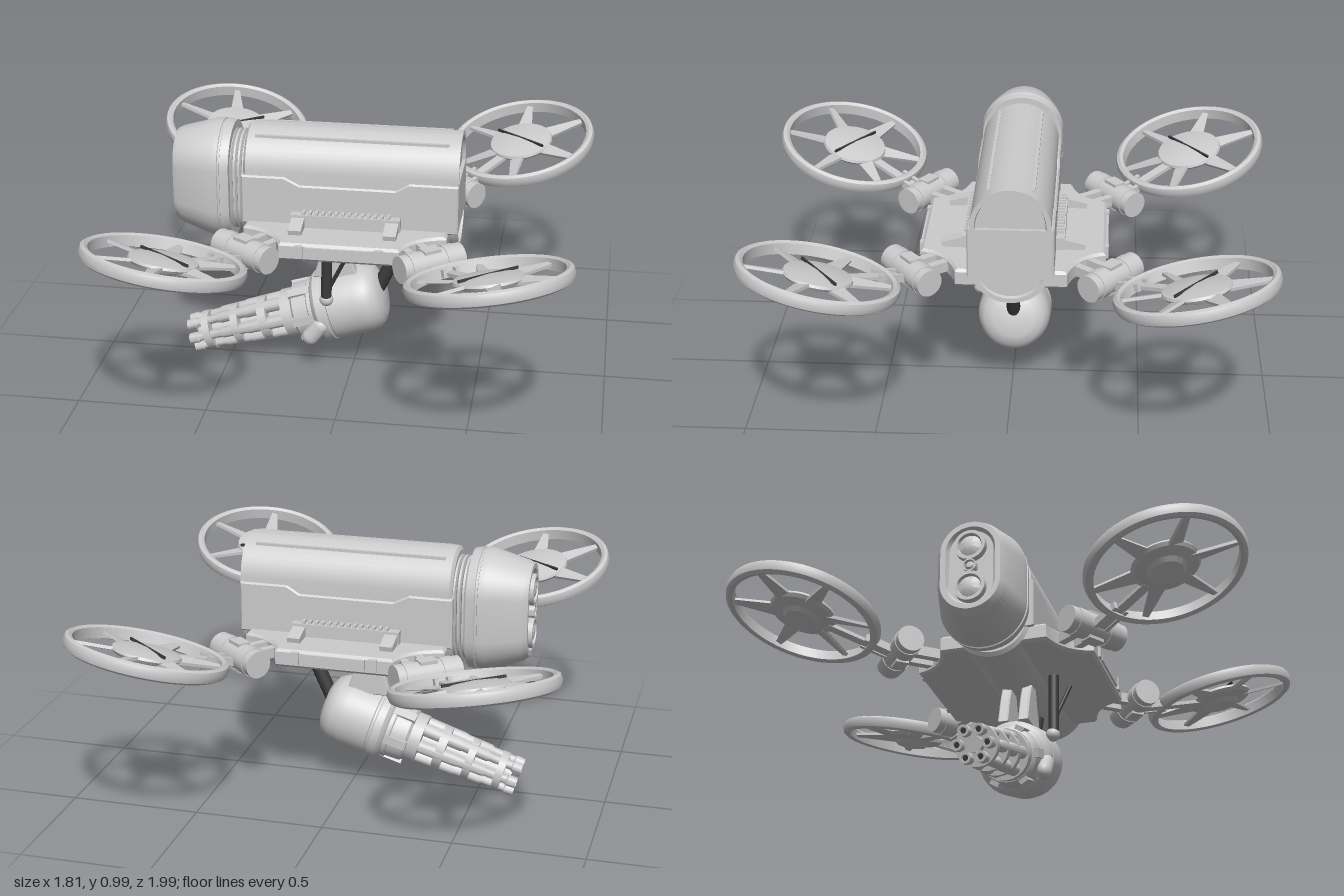
import * as THREE from 'three';
import { toCreasedNormals } from 'three/addons/utils/BufferGeometryUtils.js';

const grey = new THREE.MeshStandardMaterial({ color: 0xcccccc });
const dark = new THREE.MeshStandardMaterial({ color: 0x3a3a3a });

function add(parent, name, geometry, pos = [0, 0, 0], rot = [0, 0, 0], material = grey) {
  const mesh = new THREE.Mesh(geometry, material);
  mesh.name = name;
  mesh.position.set(...pos);
  mesh.rotation.set(...rot);
  parent.add(mesh);
  return mesh;
}

const box = (w, h, d) => new THREE.BoxGeometry(w, h, d);
const cyl = (r1, r2, h, n = 32) => new THREE.CylinderGeometry(r1, r2, h, n);
const lathe = (pts, n = 48) => toCreasedNormals(
  new THREE.LatheGeometry(pts.map(p => new THREE.Vector2(...p)), n), 0.6);

function rod(parent, name, a, b, r, material = grey) {
  const from = new THREE.Vector3(...a), to = new THREE.Vector3(...b);
  const dir = to.clone().sub(from);
  const mesh = add(parent, name, cyl(r, r, dir.length(), 16), from.add(to).multiplyScalar(0.5).toArray(), [0, 0, 0], material);
  mesh.quaternion.setFromUnitVectors(new THREE.Vector3(0, 1, 0), dir.normalize());
}

// Loft of upright capsule-shaped sections along x: [x, halfWidth, halfHeight, centreY]
function loft(sections, n = 48) {
  const pos = [], idx = [];
  for (const [x, r, h, cy] of sections) {
    for (let j = 0; j < n; j++) {
      const t = (j + 0.5) / n * Math.PI * 2, c = Math.cos(t);
      pos.push(x, cy + r * c + Math.sign(c) * (h - r), r * Math.sin(t));
    }
  }
  const last = sections.length - 1;
  for (let i = 0; i < last; i++) for (let j = 0; j < n; j++) {
    const a = i * n + j, b = i * n + (j + 1) % n;
    idx.push(a, b, a + n, b, b + n, a + n);
  }
  for (let j = 1; j < n - 1; j++) {
    idx.push(0, j + 1, j);
    idx.push(last * n, last * n + j, last * n + j + 1);
  }
  const g = new THREE.BufferGeometry();
  g.setAttribute('position', new THREE.Float32BufferAttribute(pos, 3));
  g.setIndex(idx);
  return toCreasedNormals(g, 0.4);
}

function extrude(points, depth, bevel = 0) {
  const shape = new THREE.Shape(points.map(p => new THREE.Vector2(...p)));
  return new THREE.ExtrudeGeometry(shape, {
    depth, bevelEnabled: bevel > 0, bevelSize: bevel, bevelThickness: bevel, bevelSegments: 1 });
}

function makeHull() {
  const hull = new THREE.Group();
  hull.name = 'hull';
  hull.position.z = -0.01;
  add(hull, 'fuselage', loft([[-0.41, 0.135, 0.215, 0.78], [-0.4, 0.15, 0.23, 0.78], [0.415, 0.15, 0.23, 0.78],
    [0.415, 0.132, 0.212, 0.78], [0.402, 0.128, 0.208, 0.78]]));
  // Ribbed neck
  const ribs = [];
  for (let i = 0; i < 4; i++) {
    const x = -0.475 + i * 0.018;
    ribs.push([x, 0.115, 0.185, 0.775], [x + 0.004, 0.13, 0.2, 0.775], [x + 0.012, 0.13, 0.2, 0.775]);
  }
  add(hull, 'neck', loft([...ribs, [-0.4, 0.115, 0.185, 0.775]]));
  // Sensor head with recessed face
  add(hull, 'head', loft([[-0.675, 0.085, 0.15, 0.785], [-0.692, 0.095, 0.16, 0.785], [-0.692, 0.115, 0.18, 0.785],
    [-0.67, 0.13, 0.195, 0.78], [-0.535, 0.165, 0.237, 0.775], [-0.51, 0.165, 0.237, 0.775],
    [-0.508, 0.16, 0.232, 0.775], [-0.5, 0.16, 0.232, 0.775], [-0.498, 0.165, 0.237, 0.775],
    [-0.465, 0.16, 0.232, 0.775]]));
  for (const [y, r] of [[0.865, 0.06], [0.78, 0.026], [0.695, 0.06]]) {
    add(hull, 'lens', lathe([[0, 0], [r, 0], [r, 0.032], [r * 0.78, 0.032], [r * 0.7, 0.02], [r * 0.4, 0.03], [0, 0.033]], 32),
      [-0.67, y, 0], [0, 0, Math.PI / 2]);
  }
  // Side armour, top rails and pad brackets on both sides
  const panel = [[-0.41, 0.66], [0.41, 0.66], [0.41, 0.845], [0.23, 0.845], [0.18, 0.815],
    [-0.19, 0.815], [-0.25, 0.845], [-0.41, 0.845]];
  add(hull, 'sideArmour', extrude(panel, 0.31, 0.006), [0, 0, -0.155]);
  for (const s of [-1, 1]) {
    add(hull, 'topRail', box(0.74, 0.012, 0.012), [0, 0.985, s * 0.083]);
    add(hull, 'lowerSill', box(0.42, 0.05, 0.05), [-0.01, 0.69, s * 0.17]);
    for (let i = 0; i < 14; i++) add(hull, 'ventFin', box(0.012, 0.02, 0.03), [-0.17 + i * 0.025, 0.715, s * 0.175]);
    for (const x of [-0.19, 0.17]) add(hull, 'bracket', box(0.05, 0.05, 0.12), [x, 0.675, s * 0.21], [s * 0.25, 0, 0]);
    for (const x of [-0.16, 0.14]) add(hull, 'edgeBlock', box(0.03, 0.05, 0.02), [x, 0.635, s * 0.35]);
    add(hull, 'edgePanel', box(0.24, 0.04, 0.016), [-0.01, 0.635, s * 0.35]);
  }
  return hull;
}

function makeDeck() {
  // Plate with scooped corners
  const shape = new THREE.Shape();
  shape.moveTo(0.22, 0.34);
  shape.lineTo(-0.22, 0.34);
  shape.quadraticCurveTo(-0.25, 0.23, -0.38, 0.2);
  shape.lineTo(-0.38, -0.2);
  shape.quadraticCurveTo(-0.25, -0.23, -0.22, -0.34);
  shape.lineTo(0.22, -0.34);
  shape.quadraticCurveTo(0.25, -0.23, 0.38, -0.2);
  shape.lineTo(0.38, 0.2);
  shape.quadraticCurveTo(0.25, 0.23, 0.22, 0.34);
  const g = new THREE.ExtrudeGeometry(shape, {
    depth: 0.05, bevelSize: 0.01, bevelThickness: 0.01, bevelSegments: 1, curveSegments: 10 });
  g.rotateX(-Math.PI / 2);
  return g;
}

// Rotor pod; local +x points away from the hull
function makeRotorPod(name, cx, cz, mx, mz) {
  const pod = new THREE.Group();
  pod.name = name;
  pod.position.set(cx, 0.728, cz);
  pod.rotation.y = Math.atan2(-(cz - mz), cx - mx);
  const d = Math.hypot(cx - mx, cz - mz);

  // Hinge drum across the arm
  add(pod, 'hingeDrum', cyl(0.052, 0.052, 0.26), [-d, -0.093, 0], [Math.PI / 2, 0, 0]);
  for (const z of [-0.075, 0.075]) add(pod, 'hingeBand', cyl(0.055, 0.055, 0.045), [-d, -0.093, z], [Math.PI / 2, 0, 0]);
  add(pod, 'hingeClamp', box(0.05, 0.116, 0.07), [-d, -0.093, 0]);
  for (const z of [-0.035, 0.035]) add(pod, 'hullStrut', box(0.14, 0.04, 0.03), [-d - 0.08, -0.095, z]);

  const rotor = new THREE.Group();
  rotor.name = 'rotor';
  rotor.rotation.z = 0.27;
  pod.add(rotor);
  add(rotor, 'guardRing', lathe([[0.27, -0.024], [0.286, -0.03], [0.298, -0.022], [0.305, 0], [0.3, 0.018],
    [0.287, 0.025], [0.274, 0.018], [0.27, -0.024]], 64));
  // Hub with slotted cap
  add(rotor, 'hub', lathe([[0, -0.035], [0.06, -0.035], [0.075, -0.02], [0.12, -0.012], [0.13, 0], [0.126, 0.01],
    [0.08, 0.019], [0, 0.024]]));
  add(rotor, 'hubSlot', box(0.007, 0.01, 0.25), [0, 0.02, 0], [0, 0, 0], dark);
  // Tapered blades
  const blade = extrude([[0.1, -0.03], [0.278, -0.011], [0.278, 0.011], [0.1, 0.03]], 0.012);
  blade.translate(0, 0, -0.006).rotateX(-Math.PI / 2 + 0.25);
  for (let i = 0; i < 6; i++) add(rotor, 'blade', blade, [0, -0.003, 0], [0, i * Math.PI / 3 + 0.6, 0]);
  // Arm joining hinge, ring and hub
  for (const z of [-0.026, 0.026]) add(rotor, 'armRail', box(0.17, 0.03, 0.016), [-0.335, -0.004, z]);
  add(rotor, 'armWeb', box(0.29, 0.014, 0.04), [-0.25, -0.008, 0]);
  return pod;
}

// Rotary gun; local +y runs from muzzle to rear
function makeGun() {
  const gun = new THREE.Group();
  gun.name = 'gun';
  gun.position.set(-0.66, 0.085, -0.005);
  gun.rotation.z = -73 * Math.PI / 180;
  add(gun, 'gunHousing', lathe([[0, 0.45], [0.1, 0.45], [0.112, 0.46], [0.115, 0.52], [0.122, 0.525], [0.122, 0.54],
    [0.132, 0.545], [0.143, 0.56], [0.143, 0.59], [0.138, 0.594], [0.138, 0.602], [0.143, 0.606], [0.142, 0.72],
    [0.135, 0.765], [0.115, 0.795], [0.08, 0.812], [0, 0.818]]));
  add(gun, 'spindle', cyl(0.045, 0.03, 0.44, 20), [0, 0.25, 0]);
  for (const [y, r, h] of [[0.075, 0.079, 0.03], [0.2, 0.082, 0.03], [0.32, 0.088, 0.035], [0.43, 0.098, 0.05]]) {
    add(gun, 'barrelClamp', cyl(r, r, h, 24), [0, y, 0]);
  }
  const barrel = lathe([[0.012, 0.02], [0.012, 0], [0.021, 0], [0.022, 0.035], [0.017, 0.04], [0.017, 0.13],
    [0.022, 0.14], [0.022, 0.24], [0.025, 0.25], [0.025, 0.46]], 16);
  barrel.rotateZ(-0.03);
  for (let i = 0; i < 6; i++) {
    const turn = new THREE.Group();
    turn.name = 'barrelPosition';
    turn.rotation.y = (i + 0.5) * Math.PI / 3;
    gun.add(turn);
    add(turn, 'barrel', barrel, [0.056, 0, 0]);
    add(turn, 'barrelBore', cyl(0.012, 0.012, 0.002, 16), [0.056, 0.015, 0], [0, 0, 0], dark);
    add(turn, 'housingRib', box(0.018, 0.1, 0.035), [0.113, 0.5, 0]);
  }
  // Feed pod on the side
  const pod = add(gun, 'feedPod', new THREE.CapsuleGeometry(0.034, 0.06, 6, 16), [0.05, 0.53, 0.125], [0, 0, 0.6]);
  pod.scale.z = 0.8;
  return gun;
}

export function createModel() {
  const model = new THREE.Group();
  model.name = 'drone';
  model.add(makeHull());
  add(model, 'deck', makeDeck(), [-0.01, 0.605, -0.01]);

  model.add(makeRotorPod('backRightRotor', -0.61, -0.695, -0.37, -0.39));
  model.add(makeRotorPod('backLeftRotor', 0.60, -0.685, 0.35, -0.38));
  model.add(makeRotorPod('frontRightRotor', -0.585, 0.695, -0.36, 0.365));
  model.add(makeRotorPod('frontLeftRotor', 0.575, 0.675, 0.335, 0.365));

  // Gun and its mounts
  model.add(makeGun());
  rod(model, 'sideStrut', [-0.085, 0.6, 0.14], [-0.09, 0.35, 0.14], 0.021, dark);
  add(model, 'sideStrutJoint', new THREE.SphereGeometry(0.027, 20, 14), [-0.09, 0.345, 0.137]);
  rod(model, 'rearStrut', [0.2, 0.57, -0.005], [0.09, 0.33, -0.005], 0.027, dark);
  rod(model, 'braceRod', [0.02, 0.6, 0.18], [-0.08, 0.39, 0.13], 0.008, dark);
  const lug = extrude([[-0.15, 0.4], [0.02, 0.4], [-0.02, 0.5], [-0.04, 0.57], [-0.09, 0.57], [-0.12, 0.5]], 0.03, 0.005);
  for (const z of [-0.06, 0.02]) add(model, 'gunLug', lug, [0, 0, z]);
  return model;
}
